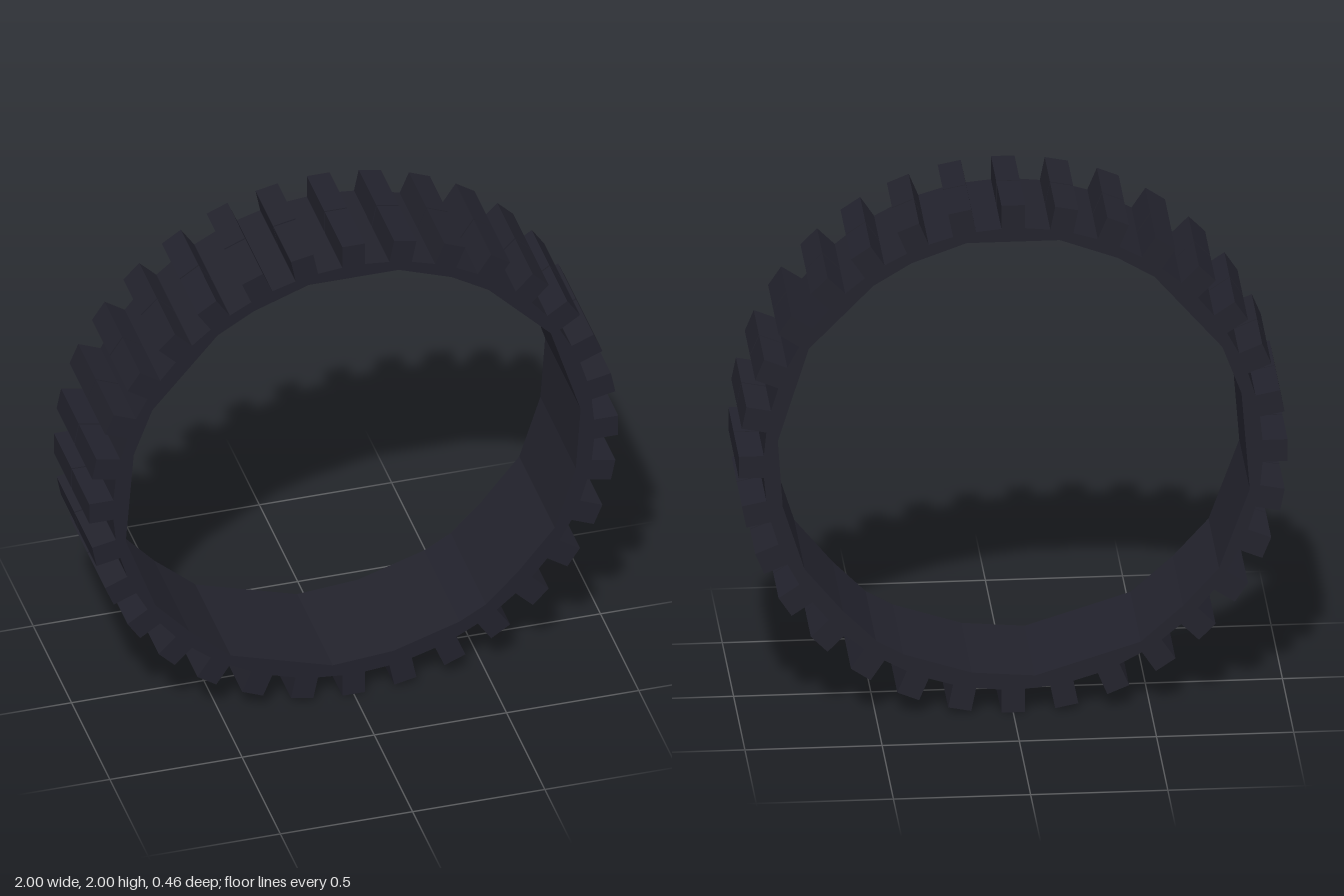
import * as THREE from 'three';

const WIDTH = 0.464, TEETH = 32, SEAM = 0.006;

export function createModel() {
  const model = new THREE.Group();
  model.name = 'treadedTrack';
  const rubber = new THREE.MeshStandardMaterial({ color: 0x22222c, flatShading: true });
  rubber.name = 'dark rubber';

  // Band: regular outer rim, coarse uneven inner rim
  const outline = [];
  for (let i = 0; i < TEETH; i++) {
    const a = (i / TEETH) * Math.PI * 2;
    outline.push(new THREE.Vector2(Math.cos(a) * 0.913, Math.sin(a) * 0.913));
  }
  const inner = [
    [-0.17, 0.857], [0.17, 0.857], [0.37, 0.785], [0.51, 0.7], [0.745, 0.46],
    [0.858, 0.1], [0.84, -0.16], [0.76, -0.41], [0.62, -0.58], [0.5, -0.7],
    [0.4, -0.757], [0.15, -0.838], [-0.08, -0.857], [-0.465, -0.737], [-0.62, -0.6],
    [-0.75, -0.457], [-0.862, -0.15], [-0.832, 0.23], [-0.762, 0.415],
    [-0.515, 0.7], [-0.38, 0.78],
  ].map(([x, y]) => new THREE.Vector2(x, y));
  const shape = new THREE.Shape(outline);
  shape.holes.push(new THREE.Path(inner));
  const bandGeometry = new THREE.ExtrudeGeometry(shape, { depth: WIDTH, bevelEnabled: false });
  bandGeometry.translate(0, 0, -WIDTH / 2);
  const band = new THREE.Mesh(bandGeometry, rubber);
  band.name = 'band';
  band.position.y = 1;
  model.add(band);

  // Tread blocks: a front and a back half with a narrow seam between them
  const half = (WIDTH - SEAM) / 2;
  const blockGeometry = new THREE.BoxGeometry(0.118, 0.086, half);
  blockGeometry.translate(0.941, 0, 0);
  const treads = new THREE.Group();
  treads.name = 'treads';
  treads.position.y = 1;
  for (let i = 0; i < TEETH; i++) {
    for (const side of [1, -1]) {
      const block = new THREE.Mesh(blockGeometry, rubber);
      block.name = side > 0 ? 'frontTread' : 'backTread';
      block.rotation.z = (i / TEETH) * Math.PI * 2;
      block.position.z = side * (half + SEAM) / 2;
      treads.add(block);
    }
  }
  model.add(treads);
  return model;
}
